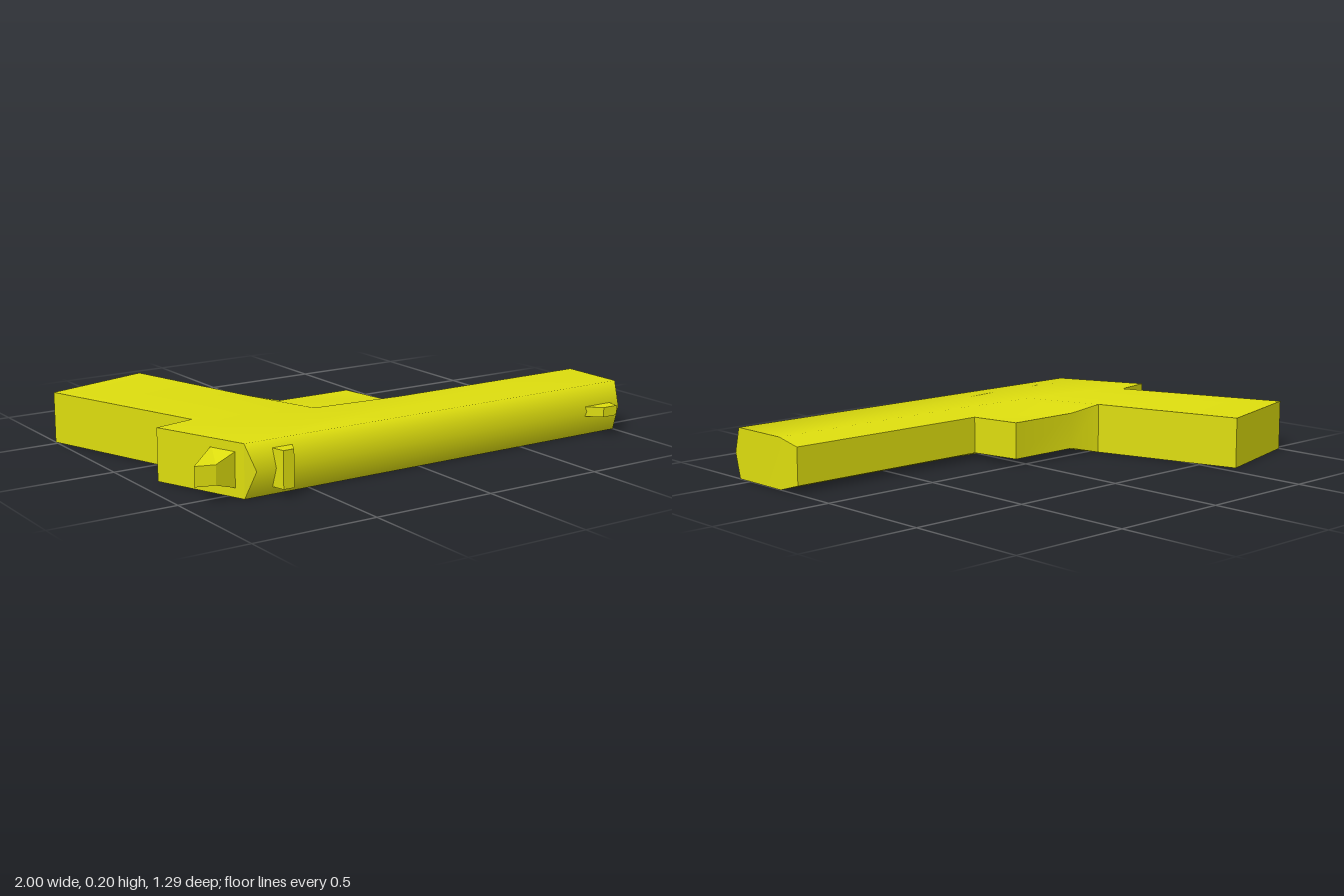
import * as THREE from 'three';
import { toCreasedNormals, mergeGeometries } from 'three/addons/utils/BufferGeometryUtils.js';

const MID = 0.1025;   // height of the mirror plane
const FULL = 0.1025;  // half thickness of grip and slide
const THIN = 0.075;   // half thickness of the trigger guard

// Triangle soup to geometry, smoothing edges softer than the crease angle
function soup(triangles, crease) {
  const geometry = new THREE.BufferGeometry();
  geometry.setAttribute('position', new THREE.Float32BufferAttribute(triangles.flat(2), 3));
  return toCreasedNormals(geometry, crease);
}

// Points are [x, z, half thickness]; loops run counterclockwise seen from above
const up = ([x, z, h]) => [x, MID + h, z];
const down = ([x, z, h]) => [x, MID - h, z];

// Upright faces around a loop; a half thickness of 0 closes to a point
function walls(loop, crease) {
  const triangles = [];
  loop.forEach((a, i) => {
    const b = loop[(i + 1) % loop.length];
    if (b[2] > 0) triangles.push([down(a), down(b), up(b)]);
    if (a[2] > 0) triangles.push([down(a), up(b), up(a)]);
  });
  return soup(triangles, crease);
}

// The same faces above and, mirrored, below
function mirroredFaces(faces, crease) {
  const triangles = [];
  for (const [a, b, c] of faces) {
    triangles.push([up(a), up(b), up(c)], [down(a), down(c), down(b)]);
  }
  return soup(triangles, crease);
}

// Small four-sided part with mirrored upper and lower faces
function block(a, b, c, d) {
  return mergeGeometries([
    walls([a, b, c, d], 0.1),
    mirroredFaces([[a, b, c], [a, c, d]], 0.1),
  ]);
}

function bodyGeometry() {
  // Grip
  const buttRear = [-1, -0.52, FULL], buttFront = [-0.555, -0.645, FULL];
  const web = [-0.755, 0.165, FULL], tang = [-0.92, 0.2, FULL];
  const gripFront = [-0.385, -0.04, FULL];
  // Slide, with a ridge along its outer edge
  const slideRear = [-0.77, 0.57, FULL], slideFront = [1, 0.57, FULL];
  const ridgeRear = [-0.735, 0.597, 0], ridgeFront = [1, 0.597, 0];
  const muzzleSide = [1, 0.3, FULL], muzzleInner = [0.985, 0.21, THIN];
  // Trigger guard and the bend above it
  const guardTop = [0.09, 0.21, THIN], guardFront = [0.055, 0, THIN], guardRear = [-0.265, 0, THIN];
  const bendRear = [-0.28, 0.27, FULL], bendFront = [0.1, 0.3, FULL];

  const outline = [buttRear, web, tang, slideRear, ridgeRear, ridgeFront, slideFront,
    muzzleSide, muzzleInner, guardTop, guardFront, guardRear, gripFront, buttFront];
  const faces = [
    [slideRear, ridgeRear, ridgeFront], [slideRear, ridgeFront, slideFront],
    [slideRear, slideFront, muzzleSide], [slideRear, muzzleSide, bendFront],
    [slideRear, bendFront, bendRear], [tang, slideRear, bendRear],
    [web, tang, bendRear], [web, bendRear, gripFront],
    [buttRear, web, gripFront], [buttRear, gripFront, buttFront],
    [bendFront, muzzleSide, muzzleInner], [bendFront, muzzleInner, guardTop],
    [bendRear, bendFront, guardTop], [bendRear, guardTop, guardRear],
    [guardRear, guardTop, guardFront], [gripFront, bendRear, guardRear],
  ];
  return mergeGeometries([walls(outline, 0.5), mirroredFaces(faces, 1.4)]);
}

export function createModel() {
  const group = new THREE.Group();
  const yellow = new THREE.MeshStandardMaterial({ color: 0xdddd0e });
  yellow.name = 'yellow';

  const add = (name, geometry) => {
    const mesh = new THREE.Mesh(geometry, yellow);
    mesh.name = name;
    group.add(mesh);
  };

  add('body', bodyGeometry());
  add('rearSight', block(
    [-0.66, 0.57, 0.072], [-0.645, 0.632, 0.072], [-0.6, 0.632, 0.072], [-0.57, 0.57, 0.072]));
  add('frontSight', block(
    [0.81, 0.58, 0.02], [0.875, 0.644, 0.02], [0.945, 0.644, 0.02], [0.957, 0.58, 0.02]));
  // Hammer, narrowing toward its tip
  add('hammer', block(
    [-0.82, 0.425, 0.07], [-0.95, 0.53, 0.038], [-0.875, 0.553, 0.038], [-0.775, 0.53, 0.07]));
  return group;
}
